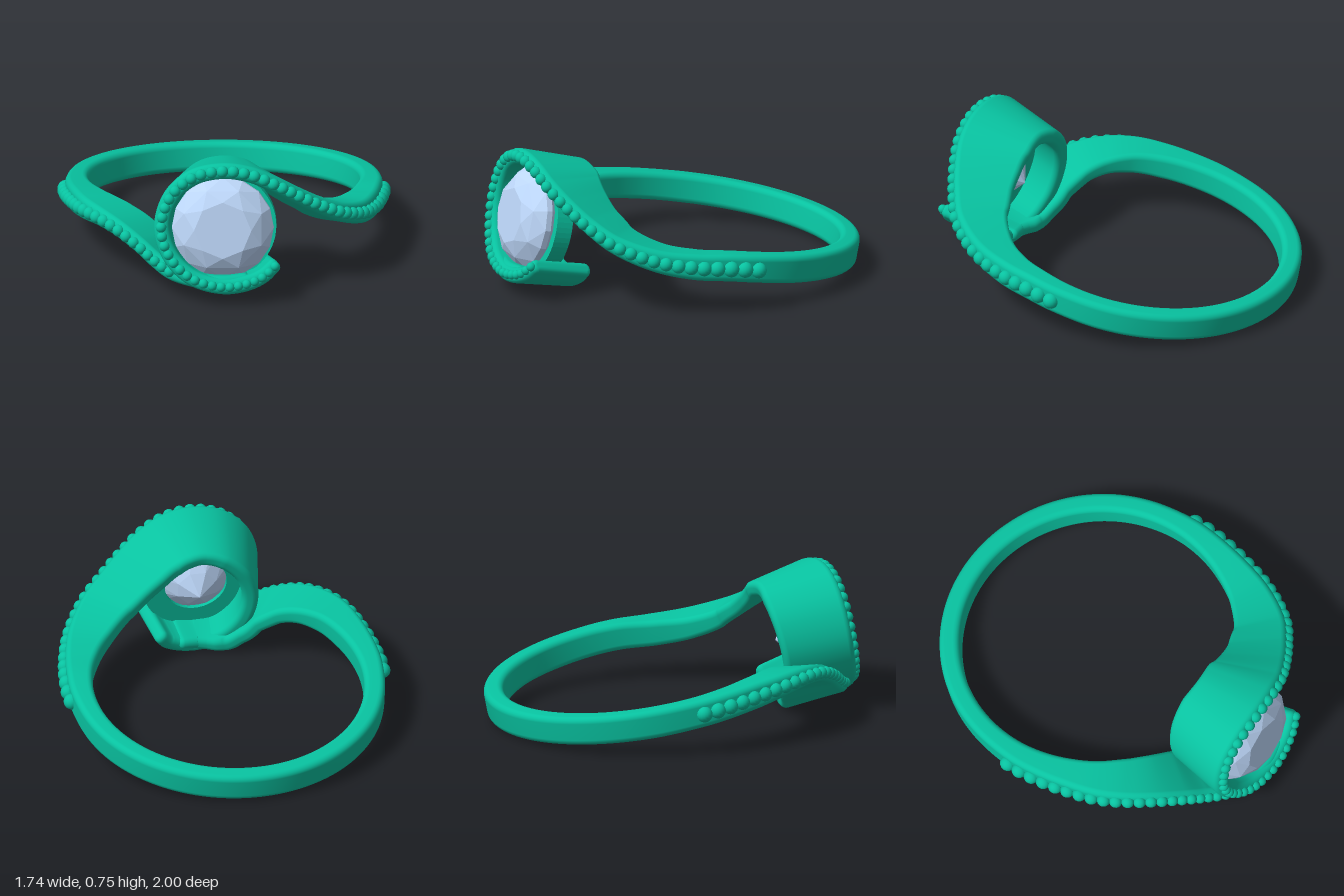
import * as THREE from 'three';
import { mergeGeometries } from 'three/addons/utils/BufferGeometryUtils.js';
import { ConvexGeometry } from 'three/addons/geometries/ConvexGeometry.js';

const RING_Z = -0.18, INNER_R = 0.71, TILT = 0.2;

// Stations along the outer edge of the band: x, y, z, thickness, bead radius
const leftBranch = [
  [0.12, 0.145, 0.935, 0.065, 0.026], [0, 0.133, 0.95, 0.075, 0.026],
  [-0.14, 0.136, 0.925, 0.08, 0.026],
  [-0.27, 0.157, 0.865, 0.085, 0.027], [-0.36, 0.201, 0.8, 0.085, 0.028],
  [-0.45, 0.258, 0.73, 0.085, 0.03], [-0.56, 0.31, 0.63, 0.09, 0.032],
  [-0.66, 0.328, 0.51, 0.1, 0.034], [-0.74, 0.318, 0.37, 0.12, 0.036],
  [-0.795, 0.287, 0.18, 0.14, 0.038], [-0.825, 0.254, 0, 0.147, 0.04],
  [-0.83, 0.227, -0.15, 0.15, 0.042]];
const rightBranch = [
  [0.83, 0.227, -0.15, 0.15, 0.042], [0.825, 0.25, 0, 0.147, 0.042],
  [0.795, 0.272, 0.2, 0.14, 0.038], [0.735, 0.314, 0.4, 0.12, 0.035],
  [0.62, 0.393, 0.59, 0.1, 0.033], [0.5, 0.475, 0.69, 0.09, 0.032],
  [0.39, 0.555, 0.76, 0.087, 0.031], [0.27, 0.637, 0.815, 0.085, 0.031],
  [0.145, 0.7, 0.84, 0.085, 0.031], [0, 0.724, 0.85, 0.085, 0.031],
  [-0.155, 0.689, 0.851, 0.087, 0.03], [-0.272, 0.585, 0.857, 0.087, 0.029],
  [-0.323, 0.42, 0.878, 0.087, 0.028], [-0.28, 0.27, 0.912, 0.087, 0.027],
  [-0.165, 0.161, 0.95, 0.085, 0.026], [0, 0.118, 0.967, 0.085, 0.025],
  [0.13, 0.132, 0.955, 0.085, 0.024], [0.215, 0.165, 0.935, 0.08, 0.024],
  [0.275, 0.215, 0.91, 0.075, 0.024]];
const backArc = [];
for (let i = 1; i < 12; i++) {
  const a = Math.PI * i / 12;
  const z = RING_Z - 0.815 * Math.sin(a);
  backArc.push([-0.82 * Math.cos(a), 0.085 + 0.165 * (z + 1), z, 0.155, 0.04]);
}
const stations = [...leftBranch, ...backArc, ...rightBranch];
const path = new THREE.CatmullRomCurve3(stations.map(s => new THREE.Vector3(s[0], s[1], s[2])));
const last = stations.length - 1;

const stationValue = (t, k) => {
  const i = Math.min(Math.floor(t * last), last - 1);
  return THREE.MathUtils.lerp(stations[i][k], stations[i + 1][k], t * last - i);
};

// Rounded-rectangle section; its long side runs radially into the ring
function section(t, inset = 0, shift = 0) {
  const p = path.getPoint(t), T = path.getTangent(t);
  const rise = THREE.MathUtils.smoothstep(p.y, 0.35, 0.72);
  const head = THREE.MathUtils.smoothstep(p.z, 0.72, 0.87);
  const depth = p.z - RING_Z;
  const radial = new THREE.Vector3(p.x * (1 - 0.4 * head), (TILT + 0.07 * rise) * depth, depth);
  const width = Math.min(Math.hypot(p.x, depth) - INNER_R + 0.07 * rise, 0.38 + 0.02 * rise);
  const U = radial.addScaledVector(T, -radial.dot(T)).normalize();
  const V = new THREE.Vector3().crossVectors(T, U).normalize();
  const hu = width / 2 - inset, hv = stationValue(t, 3) / 2 - inset;
  const r = Math.min(0.032, hu * 0.9, hv * 0.9);
  const centre = p.clone().addScaledVector(U, -width / 2).addScaledVector(T, shift);
  const ring = [];
  for (let q = 0; q < 4; q++) {
    const su = q === 0 || q === 3 ? 1 : -1, sv = q < 2 ? 1 : -1;
    for (let k = 0; k <= 5; k++) {
      const a = (q + k / 5) * Math.PI / 2;
      ring.push(centre.clone()
        .addScaledVector(U, su * (hu - r) + r * Math.cos(a))
        .addScaledVector(V, sv * (hv - r) + r * Math.sin(a)));
    }
  }
  return { ring, centre };
}

// One continuous sweep with softly rounded ends
function bandGeometry() {
  const sections = [], R = 0.025, steps = 360;
  for (let k = 4; k >= 1; k--) {
    const a = k * Math.PI / 8;
    sections.push(section(0, R * (1 - Math.cos(a)), -R * Math.sin(a)));
  }
  for (let i = 0; i <= steps; i++) sections.push(section(i / steps));
  for (let k = 1; k <= 4; k++) {
    const a = k * Math.PI / 8;
    sections.push(section(1, R * (1 - Math.cos(a)), R * Math.sin(a)));
  }
  const n = sections[0].ring.length, m = sections.length;
  const points = sections.flatMap(s => s.ring), index = [];
  for (let i = 0; i < m - 1; i++) {
    for (let j = 0; j < n; j++) {
      const a = i * n + j, b = i * n + (j + 1) % n;
      index.push(a, b, a + n, b, b + n, a + n);
    }
  }
  points.push(sections[0].centre, sections[m - 1].centre);
  for (let j = 0; j < n; j++) {
    const k = (j + 1) % n, e = (m - 1) * n;
    index.push(m * n, k, j, m * n + 1, e + j, e + k);
  }
  const g = new THREE.BufferGeometry().setFromPoints(points);
  g.setIndex(index);
  g.computeVertexNormals();
  return g;
}

// Touching beads between two stations
function beadRow(from, to) {
  const beads = [];
  let previous = null;
  for (let i = 0; i <= 4000; i++) {
    const t = THREE.MathUtils.lerp(from, to, i / 4000) / last;
    const p = path.getPoint(t), r = stationValue(t, 4);
    if (previous && p.distanceTo(previous) < 1.85 * r) continue;
    beads.push(new THREE.SphereGeometry(r, 16, 12).translate(p.x, p.y, p.z));
    previous = p;
  }
  return mergeGeometries(beads);
}

// Brilliant cut, axis along +y
function gemGeometry() {
  const points = [new THREE.Vector3(0, -0.24, 0)];
  const loop = (count, r, y, turn) => {
    for (let i = 0; i < count; i++) {
      const a = (i + turn) / count * Math.PI * 2;
      points.push(new THREE.Vector3(r * Math.cos(a), y, r * Math.sin(a)));
    }
  };
  loop(8, 0.15, 0.11, 0);
  loop(8, 0.22, 0.075, 0.5);
  loop(16, 0.267, 0.015, 0);
  loop(16, 0.267, -0.015, 0);
  loop(8, 0.11, -0.165, 0.5);
  return new ConvexGeometry(points);
}

// Stepped collar that carries the gem
function seatGeometry() {
  const profile = [[0.165, -0.13], [0.28, -0.13], [0.28, -0.04], [0.235, -0.04], [0.165, -0.1], [0.165, -0.13]];
  const g = new THREE.LatheGeometry(profile.map(p => new THREE.Vector2(p[0], p[1])), 64).toNonIndexed();
  g.computeVertexNormals();
  return g;
}

export function createModel() {
  const model = new THREE.Group();
  model.name = 'ring';
  const metal = new THREE.MeshStandardMaterial({ color: 0x08c2a0 });
  const stone = new THREE.MeshStandardMaterial({ color: 0xbcd6f8 });
  const add = (parent, name, geometry, material) => {
    const mesh = new THREE.Mesh(geometry, material);
    mesh.name = name;
    parent.add(mesh);
  };

  add(model, 'band', bandGeometry(), metal);
  const rightStart = leftBranch.length + backArc.length;
  add(model, 'rightBeads', beadRow(rightStart, last), metal);
  add(model, 'leftBeads', beadRow(leftBranch.length - 1, 3), metal);

  // Gem and seat share the tilted axis
  const setting = new THREE.Group();
  setting.name = 'setting';
  setting.position.set(0, 0.395, 0.81);
  setting.rotation.x = Math.PI / 2 - Math.atan(TILT);
  add(setting, 'gem', gemGeometry(), stone);
  add(setting, 'seat', seatGeometry(), metal);
  model.add(setting);
  return model;
}
